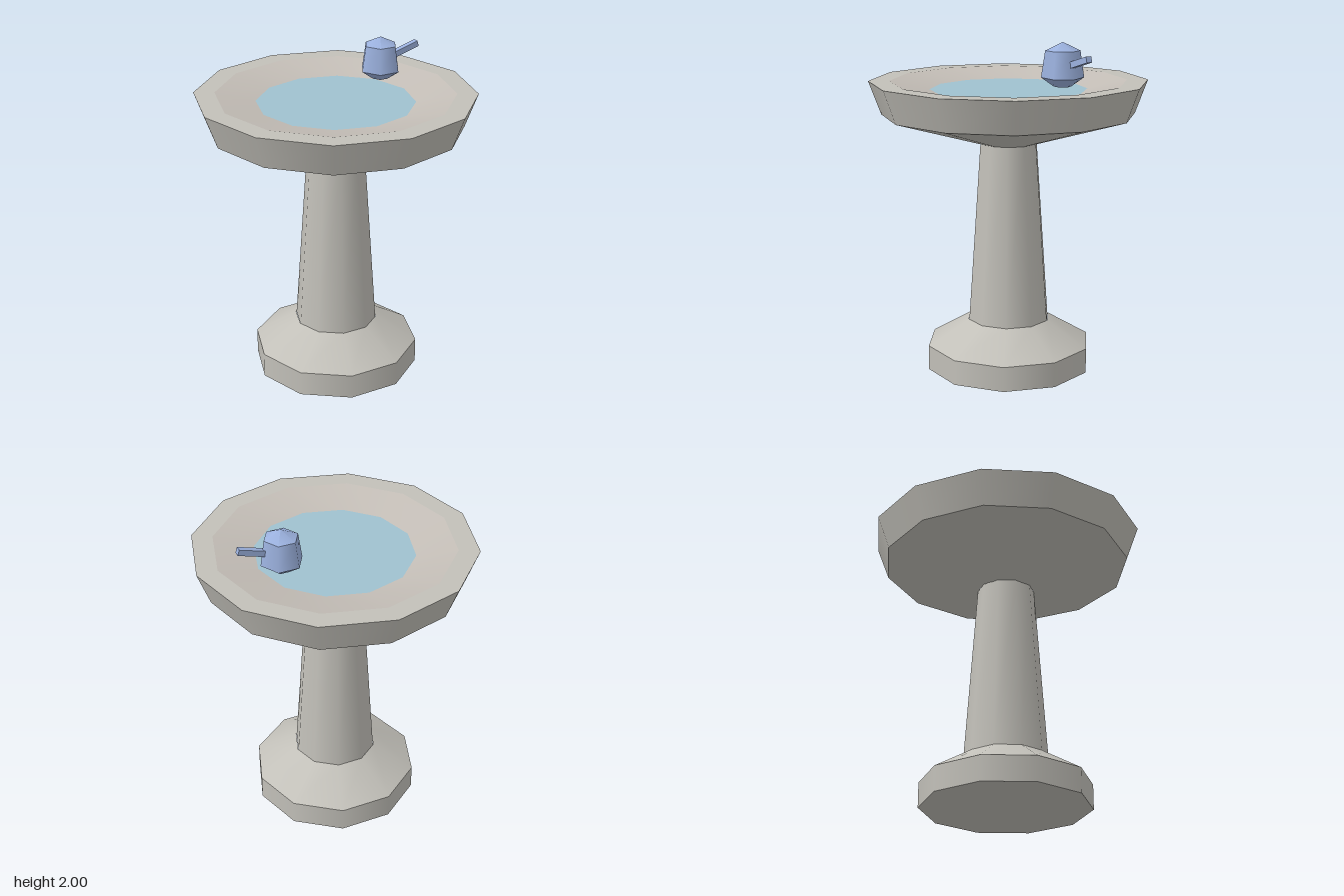
import * as THREE from 'three';

const material = (name, color) => {
  const m = new THREE.MeshStandardMaterial({ color });
  m.name = name;
  return m;
};

export function createModel() {
  const stone = material('stone', 0xc2c0b9);
  const innerStone = material('inner stone', 0xc4beb7);
  const water = material('water', 0x9fc1cf);
  const blue = material('blue', 0x9bb1de);

  const model = new THREE.Group();
  model.name = 'birdBath';

  const add = (parent, name, geometry, mat) => {
    const mesh = new THREE.Mesh(geometry, mat);
    mesh.name = name;
    parent.add(mesh);
    return mesh;
  };

  // Open frustum from y0 to y1, with corners on the x axis
  const band = (parent, name, mat, sides, r0, y0, r1, y1) => {
    const g = new THREE.CylinderGeometry(r1, r0, y1 - y0, sides, 1, true, Math.PI / 2);
    return add(parent, name, g.translate(0, (y0 + y1) / 2, 0), mat);
  };

  // Flat horizontal disc or ring
  const flat = (parent, name, mat, sides, inner, outer, y, up = true) => {
    const g = inner > 0 ? new THREE.RingGeometry(inner, outer, sides) : new THREE.CircleGeometry(outer, sides);
    return add(parent, name, g.rotateX(up ? -Math.PI / 2 : Math.PI / 2).translate(0, y, 0), mat);
  };

  // Pedestal
  const pedestal = new THREE.Group();
  pedestal.name = 'pedestal';
  flat(pedestal, 'baseUnderside', stone, 10, 0, 0.5, 0, false);
  band(pedestal, 'baseSide', stone, 10, 0.5, 0, 0.5, 0.15);
  band(pedestal, 'baseSlope', stone, 10, 0.5, 0.15, 0.25, 0.3);
  band(pedestal, 'column', stone, 10, 0.247, 0.295, 0.172, 1.385);

  // Bowl: underside, wall, flat rim and shallow basin
  const bowl = new THREE.Group();
  bowl.name = 'bowl';
  band(bowl, 'bowlUnderside', stone, 12, 0.17, 1.38, 0.75, 1.553);
  band(bowl, 'bowlWall', stone, 12, 0.75, 1.553, 0.823, 1.75);
  flat(bowl, 'rim', stone, 12, 0.7, 0.823, 1.75);
  const basin = band(bowl, 'basin', innerStone, 12, 0.464, 1.7, 0.7, 1.75);
  // Turn the basin faces inward
  const index = basin.geometry.index;
  for (let i = 0; i < index.count; i += 3) {
    const a = index.getX(i);
    index.setX(i, index.getX(i + 1));
    index.setX(i + 1, a);
  }
  basin.geometry.computeVertexNormals();
  flat(bowl, 'waterSurface', water, 12, 0, 0.465, 1.7);

  // Small six-sided can with a spout
  const can = new THREE.Group();
  can.name = 'can';
  flat(can, 'canBottom', blue, 6, 0, 0.05, 1.748, false);
  band(can, 'canFoot', blue, 6, 0.05, 1.748, 0.123, 1.8);
  band(can, 'canBody', blue, 6, 0.123, 1.8, 0.1, 1.952);
  band(can, 'canTop', blue, 6, 0.1, 1.952, 0, 2);
  const spout = add(can, 'spout', new THREE.BoxGeometry(0.18, 0.035, 0.036), blue);
  spout.position.set(0.165, 1.9, 0);
  spout.rotation.z = 0.29;
  can.position.set(0.372, 0, -0.125);

  model.add(pedestal, bowl, can);
  return model;
}
